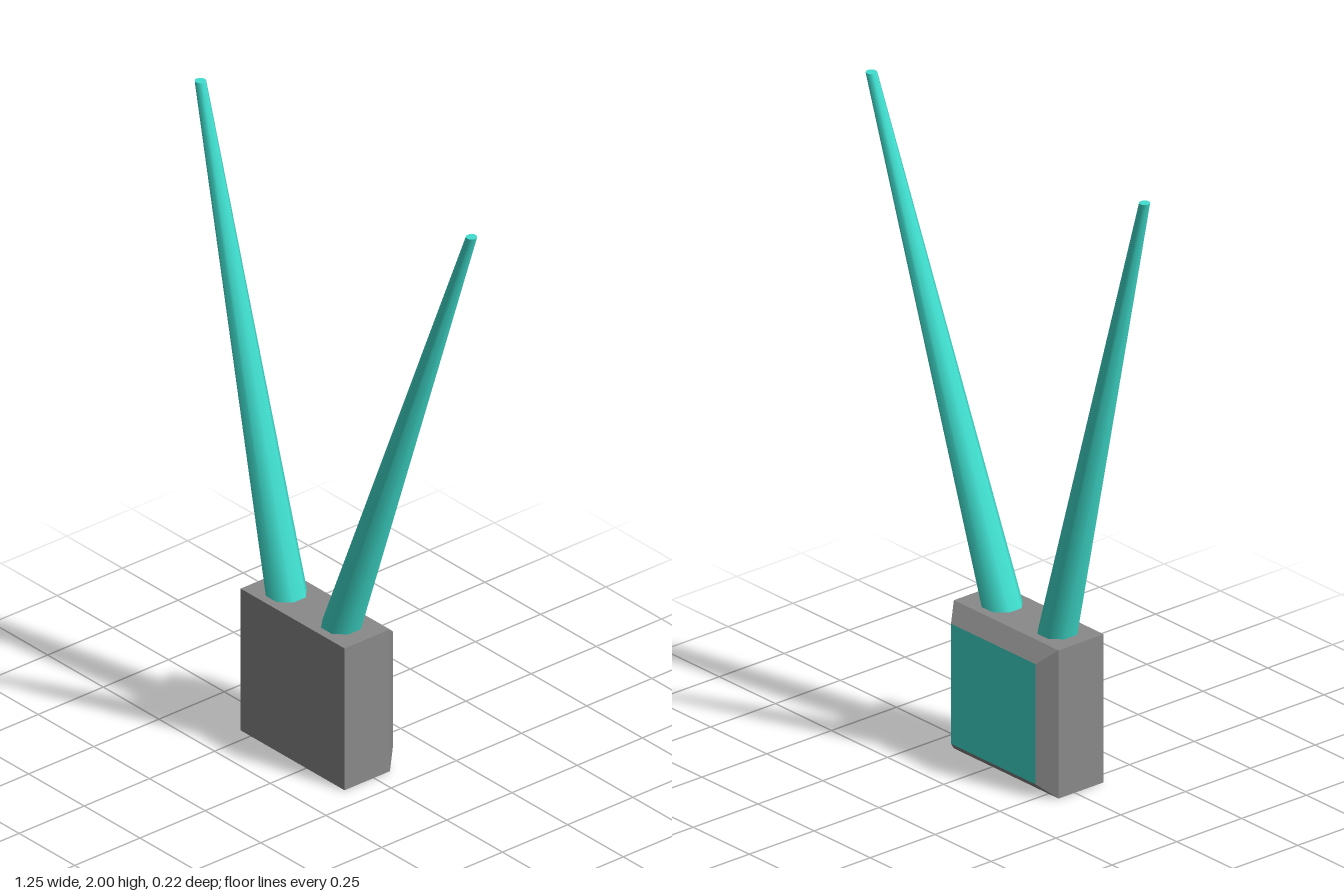
import * as THREE from 'three';

const grey = new THREE.MeshStandardMaterial({ color: 0x8a8a8a });
grey.name = 'grey';
const turquoise = new THREE.MeshStandardMaterial({ color: 0x40e0d0 });
turquoise.name = 'turquoise';

const X0 = -0.295, X1 = 0.172, HEIGHT = 0.475;

// Rectangle ring at depth z, shrunk by inset, counter-clockwise from the front
function ring(z, inset) {
  const l = X0 + inset, r = X1 - inset, b = inset, t = HEIGHT - inset;
  return [[l, b, z], [r, b, z], [r, t, z], [l, t, z]];
}

// Flat-shaded geometry from four-cornered faces
function quads(faces) {
  const points = faces.flatMap(([a, b, c, d]) => [a, b, c, a, c, d]).flat();
  const geometry = new THREE.BufferGeometry();
  geometry.setAttribute('position', new THREE.Float32BufferAttribute(points, 3));
  geometry.computeVertexNormals();
  return geometry;
}

// Tapered octagonal antenna leaning from base to tip, cut level at both ends
function antenna(name, base, tip) {
  const h = tip.y - base.y;
  const geometry = new THREE.CylinderGeometry(0.0175, 0.063, h, 8, 1, false, Math.PI / 8);
  geometry.translate(0, h / 2, 0);
  const sx = (tip.x - base.x) / h, sz = (tip.z - base.z) / h;
  geometry.applyMatrix4(new THREE.Matrix4().set(
    1, sx, 0, base.x,
    0, 1, 0, base.y,
    0, sz, 1, base.z,
    0, 0, 0, 1));
  const mesh = new THREE.Mesh(geometry, turquoise);
  mesh.name = name;
  return mesh;
}

export function createModel() {
  const model = new THREE.Group();
  model.name = 'boxWithAntennas';

  // Box with a bevelled back
  const rings = [ring(0.112, 0), ring(-0.062, 0), ring(-0.112, 0.045)];
  const faces = [rings[0]];
  for (let i = 0; i < 2; i++) {
    for (let k = 0; k < 4; k++) {
      const n = (k + 1) % 4;
      faces.push([rings[i][n], rings[i][k], rings[i + 1][k], rings[i + 1][n]]);
    }
  }
  const body = new THREE.Mesh(quads(faces), grey);
  body.name = 'body';

  // Coloured back face
  const panel = new THREE.Mesh(quads([[...rings[2]].reverse()]), turquoise);
  panel.name = 'backPanel';

  model.add(
    body,
    panel,
    antenna('leftAntenna', new THREE.Vector3(0.058, HEIGHT, 0.026), new THREE.Vector3(0.609, 2, -0.002)),
    antenna('rightAntenna', new THREE.Vector3(-0.19, HEIGHT, 0.026), new THREE.Vector3(-0.609, 2, -0.002)),
  );
  return model;
}
